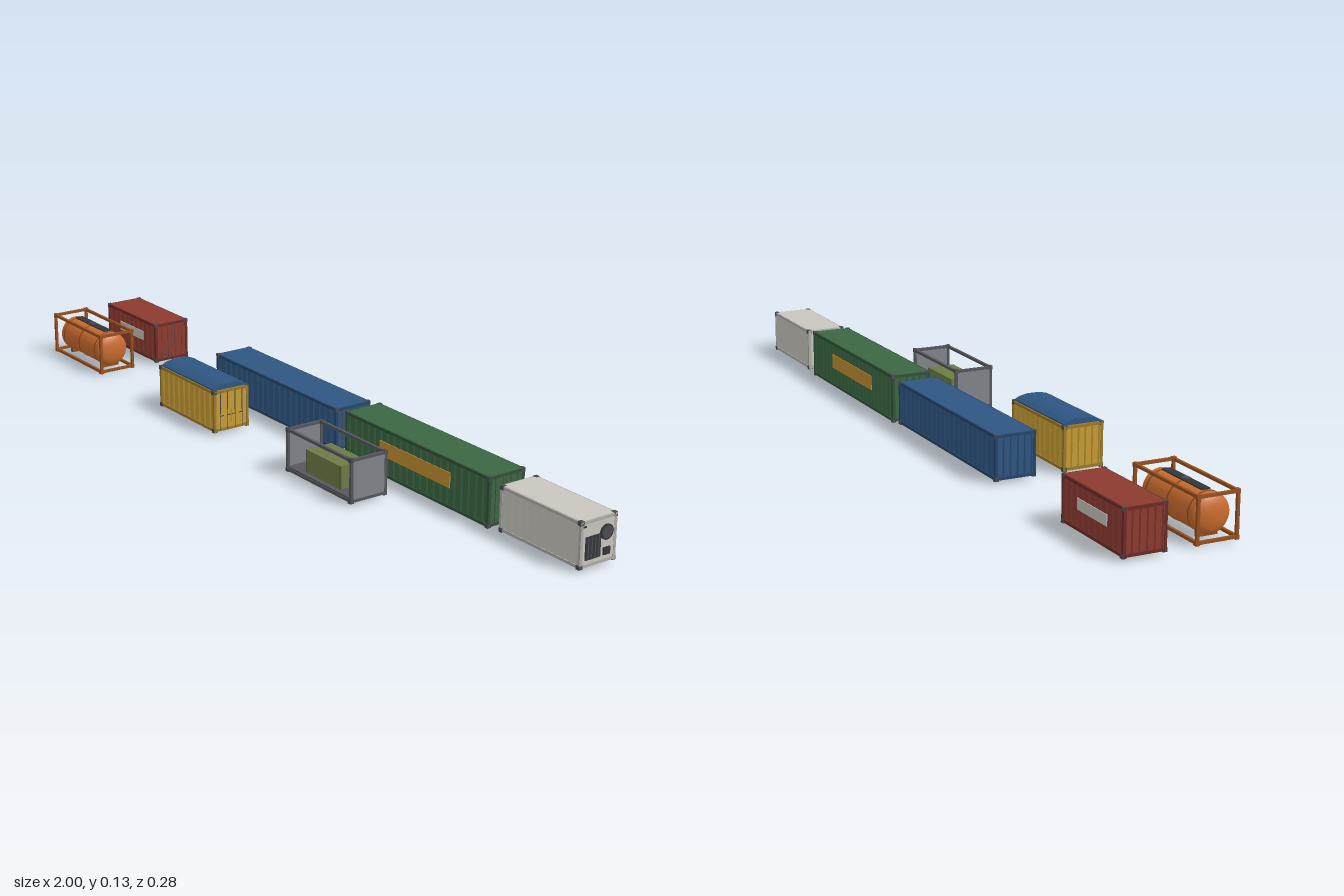
import * as THREE from 'three';

const mat = (color) => new THREE.MeshStandardMaterial({ color });
const M = {
  red: mat(0x8c3a2f), redDark: mat(0x6b2b24), blue: mat(0x2e5682), blueDark: mat(0x24456a),
  green: mat(0x3b6642), greenDark: mat(0x2f5236), white: mat(0xc8c6be), whiteDark: mat(0xaeada6),
  yellow: mat(0xc79c34), yellowDark: mat(0x9c7a2a), orange: mat(0xcb6c2e), orangeDark: mat(0x96501f),
  grey: mat(0x80858a), greyDark: mat(0x55565c), olive: mat(0x6c7b46), oliveDark: mat(0x525e36),
  label: mat(0xc4c2bc), gold: mat(0xc0902f), dark: mat(0x35363a), casting: mat(0x4a4b50),
};
const W = 0.105, L20 = 0.262, L40 = 0.54, H = 0.112, POST = 0.007;

function add(parent, name, geo, material, x = 0, y = 0, z = 0) {
  const m = new THREE.Mesh(geo, material);
  m.name = name;
  m.position.set(x, y, z);
  parent.add(m);
  return m;
}
const box = (parent, name, material, w, h, d, x, y, z) =>
  add(parent, name, new THREE.BoxGeometry(w, h, d), material, x, y, z);

function unit(name, x, y, z) {
  const g = new THREE.Group();
  g.name = name;
  g.position.set(x, y, z);
  return g;
}

// Twelve edge members plus eight corner castings
function frame(g, L, h, material, cast = M.casting) {
  const hx = L / 2 - POST / 2, hz = W / 2 - POST / 2;
  for (const sx of [-1, 1]) {
    for (const sz of [-1, 1]) {
      box(g, 'cornerPost', material, POST, h - 0.002, POST, sx * hx, h / 2, sz * hz);
      for (const y of [0.005, h - 0.005])
        box(g, 'cornerCasting', cast, 0.011, 0.01, 0.01, sx * (L / 2 - 0.0055), y, sz * (W / 2 - 0.004));
    }
    for (const y of [0.006, h - 0.005])
      box(g, 'endRail', material, POST, POST, W - POST, sx * hx, y, 0);
  }
  for (const sz of [-1, 1]) for (const y of [0.006, h - 0.005])
    box(g, 'sideRail', material, L - POST, POST, POST, 0, y, sz * hz);
}

// Upright corrugated sheet whose outer face looks along +z
function corrugated(length, height, ribs, depth) {
  const s = new THREE.Shape(), p = length / ribs, x0 = -length / 2;
  s.moveTo(x0, 0);
  for (let i = 0; i < ribs; i++) {
    const x = x0 + i * p;
    s.lineTo(x + p * 0.3, 0);
    s.lineTo(x + p * 0.45, depth);
    s.lineTo(x + p * 0.75, depth);
    s.lineTo(x + p * 0.9, 0);
  }
  s.lineTo(-x0, 0);
  s.lineTo(-x0, depth * 1.5);
  s.lineTo(x0, depth * 1.5);
  return new THREE.ExtrudeGeometry(s, { depth: height, bevelEnabled: false }).rotateX(-Math.PI / 2);
}

// Closed box container: frame, ribbed walls, roof, floor and doors
function container(name, x, y, z, L, h, body, trim, { depth = 0.003, doors = true, roof = true } = {}) {
  const g = unit(name, x, y, z);
  frame(g, L, h, trim);
  const wallH = h - 0.013, ribs = Math.round(L / 0.0262);
  for (const s of [1, -1]) {
    const wall = add(g, 'sideWall', corrugated(L - 2 * POST, wallH, ribs, depth), body, 0, 0.007, s * (W / 2 - 0.001));
    if (s < 0) wall.rotation.y = Math.PI;
  }
  const end = add(g, 'endWall', corrugated(W - 2 * POST, wallH, 5, depth), body, -L / 2 + 0.001, 0.007, 0);
  end.rotation.y = -Math.PI / 2;
  box(g, 'floor', body, L - POST, 0.003, W - POST, 0, 0.005, 0);
  if (roof) box(g, 'roof', body, L - POST, 0.003, W - POST, 0, h - 0.0025, 0);
  if (doors) for (const s of [-1, 1]) {
    box(g, 'door', body, 0.003, wallH, W / 2 - POST - 0.0005, L / 2 - 0.003, h / 2, s * (W / 4 - POST / 2));
    for (const k of [0.25, 0.72]) {
      const bz = s * k * (W / 2 - POST);
      add(g, 'lockRod', new THREE.CylinderGeometry(0.001, 0.001, h - 0.008, 8), M.casting, L / 2 - 0.0005, h / 2, bz);
      box(g, 'lockHandle', M.casting, 0.0015, 0.002, 0.011, L / 2, h * 0.38, bz - s * 0.004);
    }
  }
  return g;
}

function sidePanels(g, name, material, w, h, y) {
  for (const s of [-1, 1]) box(g, name, material, w, h, 0.002, 0, y, s * (W / 2 - 0.0005));
}

function tankContainer(x, y, z) {
  const g = unit('tankContainer', x, y, z);
  frame(g, L20, H, M.orangeDark, M.orangeDark);
  // Tank shell with dished ends
  const R = 0.046, half = 0.117, pts = [];
  for (let i = 0; i <= 8; i++) {
    const a = (i / 8) * Math.PI / 2;
    pts.push(new THREE.Vector2(R * Math.sin(a), -half + 0.018 * (1 - Math.cos(a))));
  }
  const profile = [...pts, ...pts.slice().reverse().map((p) => new THREE.Vector2(p.x, -p.y))];
  add(g, 'tankShell', new THREE.LatheGeometry(profile, 40).rotateZ(Math.PI / 2), M.orange, 0, H / 2, 0);
  for (const bx of [-0.085, 0, 0.085]) {
    const band = new THREE.CylinderGeometry(R + 0.0012, R + 0.0012, 0.005, 40).rotateZ(Math.PI / 2);
    add(g, 'tankBand', band, M.orangeDark, bx, H / 2, 0);
  }
  // Walkway, hatch and saddles
  box(g, 'walkway', M.dark, 0.16, 0.003, 0.022, 0, H / 2 + R + 0.002, 0);
  add(g, 'hatch', new THREE.CylinderGeometry(0.009, 0.009, 0.005, 20), M.casting, 0, H / 2 + R + 0.003, 0);
  for (const s of [-1, 1])
    box(g, 'saddle', M.orangeDark, 0.012, 0.014, 0.05, s * 0.085, 0.011, 0);
  return g;
}

function flatRack(x, y, z) {
  const g = unit('flatRack', x, y, z);
  frame(g, L20, H, M.greyDark);
  box(g, 'deck', M.greyDark, L20 - POST, 0.011, W - 0.004, 0, 0.008, 0);
  for (const s of [-1, 1])
    box(g, 'endPanel', M.grey, 0.004, H - 0.014, W - 2 * POST + 0.001, s * (L20 / 2 - 0.003), H / 2, 0);
  // Crated cargo with edge battens
  const w = 0.138, h = 0.058, d = 0.074, cy = 0.0135 + h / 2;
  box(g, 'crate', M.olive, w, h, d, 0, cy, 0);
  for (const sx of [-1, 1]) for (const sz of [-1, 1])
    box(g, 'crateBatten', M.oliveDark, 0.003, h, 0.003, sx * (w / 2 - 0.001), cy, sz * (d / 2 - 0.001));
  return g;
}

function tarpContainer(x, y, z) {
  const g = container('tarpContainer', x, y, z, L20, H, M.yellow, M.yellowDark, { roof: false });
  // Arched cover, faceted across the width
  const s = new THREE.Shape();
  s.moveTo(-0.049, 0);
  for (const [px, py] of [[0.049, 0], [0.049, 0.007], [0.037, 0.013], [0.017, 0.0175],
    [-0.017, 0.0175], [-0.037, 0.013], [-0.049, 0.007]]) s.lineTo(px, py);
  const len = L20 - 0.014;
  const cover = new THREE.ExtrudeGeometry(s, { depth: len, bevelEnabled: false });
  cover.translate(0, 0, -len / 2).rotateY(Math.PI / 2);
  add(g, 'tarpCover', cover, M.blue, 0, H - 0.005, 0);
  return g;
}

function refrigerated(x, y, z) {
  const g = container('refrigeratedContainer', x, y, z, L20, H, M.white, M.whiteDark, { depth: 0.0015, doors: false });
  const fx = L20 / 2;
  // Cooling machinery on the +x end (local z, local y)
  box(g, 'machineryPanel', M.white, 0.004, H - 0.014, W - 2 * POST + 0.001, fx - 0.003, H / 2, 0);
  box(g, 'grille', M.dark, 0.003, 0.054, 0.044, fx, 0.046, 0.016);
  for (let i = 0; i < 4; i++)
    box(g, 'grilleSlat', M.casting, 0.002, 0.048, 0.003, fx + 0.002, 0.046, 0.001 + i * 0.01);
  const fan = (r, d) => new THREE.CylinderGeometry(r, r, d, 28).rotateZ(Math.PI / 2);
  add(g, 'fanHousing', fan(0.018, 0.005), M.dark, fx + 0.001, 0.073, -0.022);
  add(g, 'fan', fan(0.0145, 0.003), M.casting, fx + 0.003, 0.073, -0.022);
  box(g, 'controlBox', M.dark, 0.006, 0.017, 0.019, fx, 0.0285, -0.024);
  box(g, 'ventPlate', M.dark, 0.003, 0.004, 0.009, fx - 0.001, 0.098, 0.042);
  return g;
}

export function createModel() {
  const root = new THREE.Group();
  root.name = 'containerSet';
  const y = 0.007, front = 0.0885, back = -0.0885;

  const red = container('redContainer', -0.868, y, back, L20, H, M.red, M.redDark);
  sidePanels(red, 'labelPanel', M.label, 0.125, 0.026, 0.063);
  const green = container('tallGreenContainer', 0.425, 0, back, L40, 0.125, M.green, M.greenDark);
  sidePanels(green, 'goldStripe', M.gold, 0.265, 0.038, 0.072);

  root.add(
    red, green,
    container('longBlueContainer', -0.153, y, back, L40, H, M.blue, M.blueDark),
    refrigerated(0.863, y, back),
    tankContainer(-0.868, y, front),
    tarpContainer(-0.294, y, front),
    flatRack(0.285, y, front),
  );
  return root;
}
